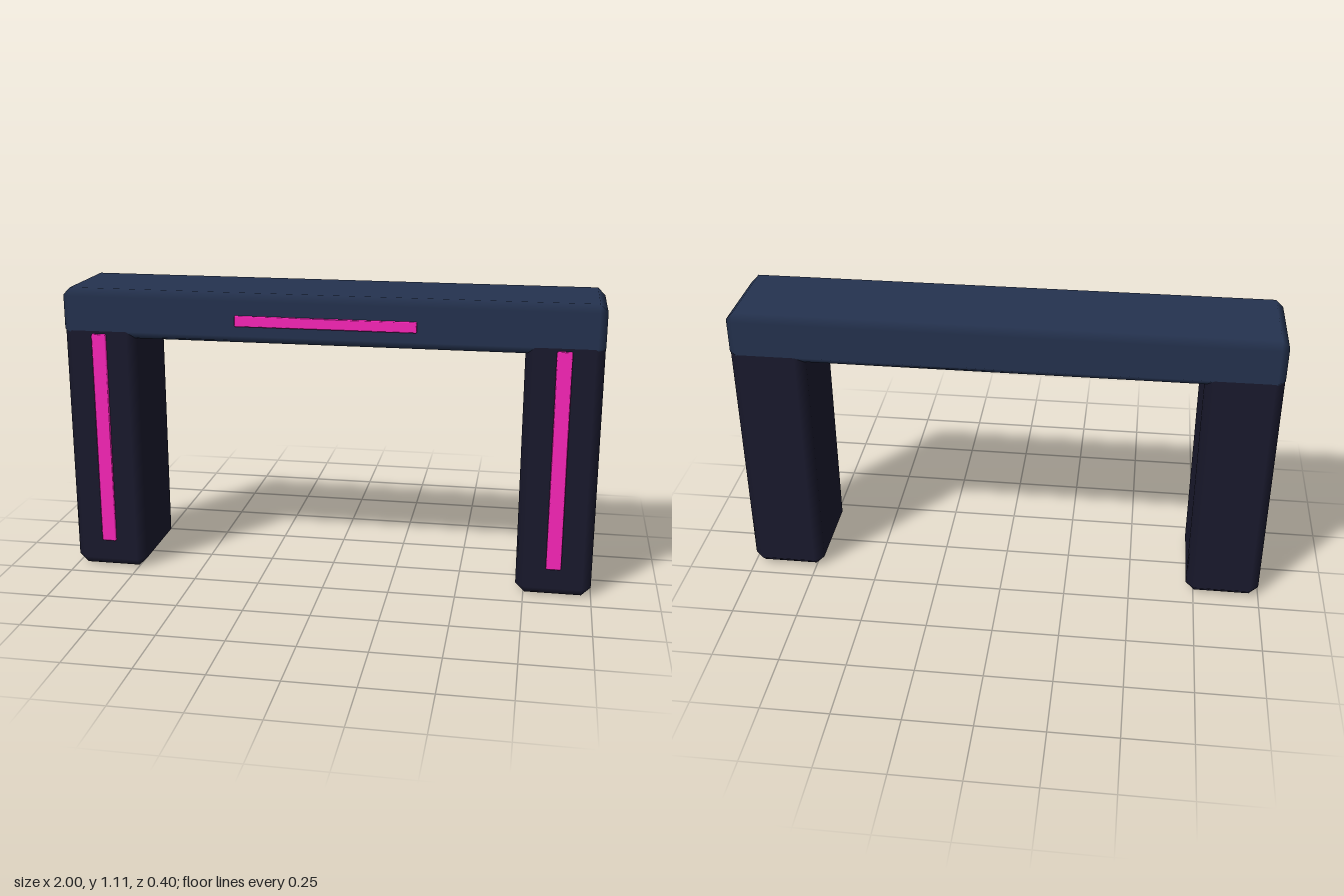
import * as THREE from 'three';
import { ConvexGeometry } from 'three/addons/geometries/ConvexGeometry.js';

// Box with a single chamfer on every edge, shaded smoothly across the chamfers
function chamferBox(w, h, d, c) {
  const half = [w / 2, h / 2, d / 2];
  const points = [];
  for (const sx of [-1, 1]) for (const sy of [-1, 1]) for (const sz of [-1, 1]) {
    const s = [sx, sy, sz];
    for (let axis = 0; axis < 3; axis++) {
      points.push(new THREE.Vector3(...half.map((v, i) => s[i] * (i === axis ? v : v - c))));
    }
  }
  const geo = new ConvexGeometry(points);
  // Each corner takes the normal of the flat face it lies on
  const pos = geo.attributes.position;
  const normal = geo.attributes.normal;
  for (let i = 0; i < pos.count; i++) {
    const p = [pos.getX(i), pos.getY(i), pos.getZ(i)];
    const n = p.map((v, k) => (Math.abs(Math.abs(v) - half[k]) < 1e-5 ? Math.sign(v) : 0));
    normal.setXYZ(i, ...n);
  }
  return geo;
}

const beamMaterial = new THREE.MeshStandardMaterial({ color: 0x253350 });
const legMaterial = new THREE.MeshStandardMaterial({ color: 0x1a1a2e });
const stripMaterial = new THREE.MeshStandardMaterial({ color: 0xff26bd });

export function createModel() {
  const model = new THREE.Group();
  model.name = 'gateway';

  const add = (name, size, chamfer, position, material) => {
    const mesh = new THREE.Mesh(chamferBox(...size, chamfer), material);
    mesh.name = name;
    mesh.position.set(...position);
    model.add(mesh);
  };

  // Top beam and its light strip
  add('beam', [2, 0.185, 0.388], 0.028, [0, 1.0125, -0.006], beamMaterial);
  add('beamStrip', [0.67, 0.04, 0.014], 0.004, [0, 1.005, 0.193], stripMaterial);

  // Legs reach up into the beam, each with a vertical light strip
  for (const [side, s] of [['left', 1], ['right', -1]]) {
    add(side + 'Leg', [0.279, 1.01, 0.386], 0.034, [s * 0.8595, 0.505, -0.006], legMaterial);
    add(side + 'LegStrip', [0.056, 0.825, 0.014], 0.004, [s * 0.858, 0.525, 0.193], stripMaterial);
  }
  return model;
}
